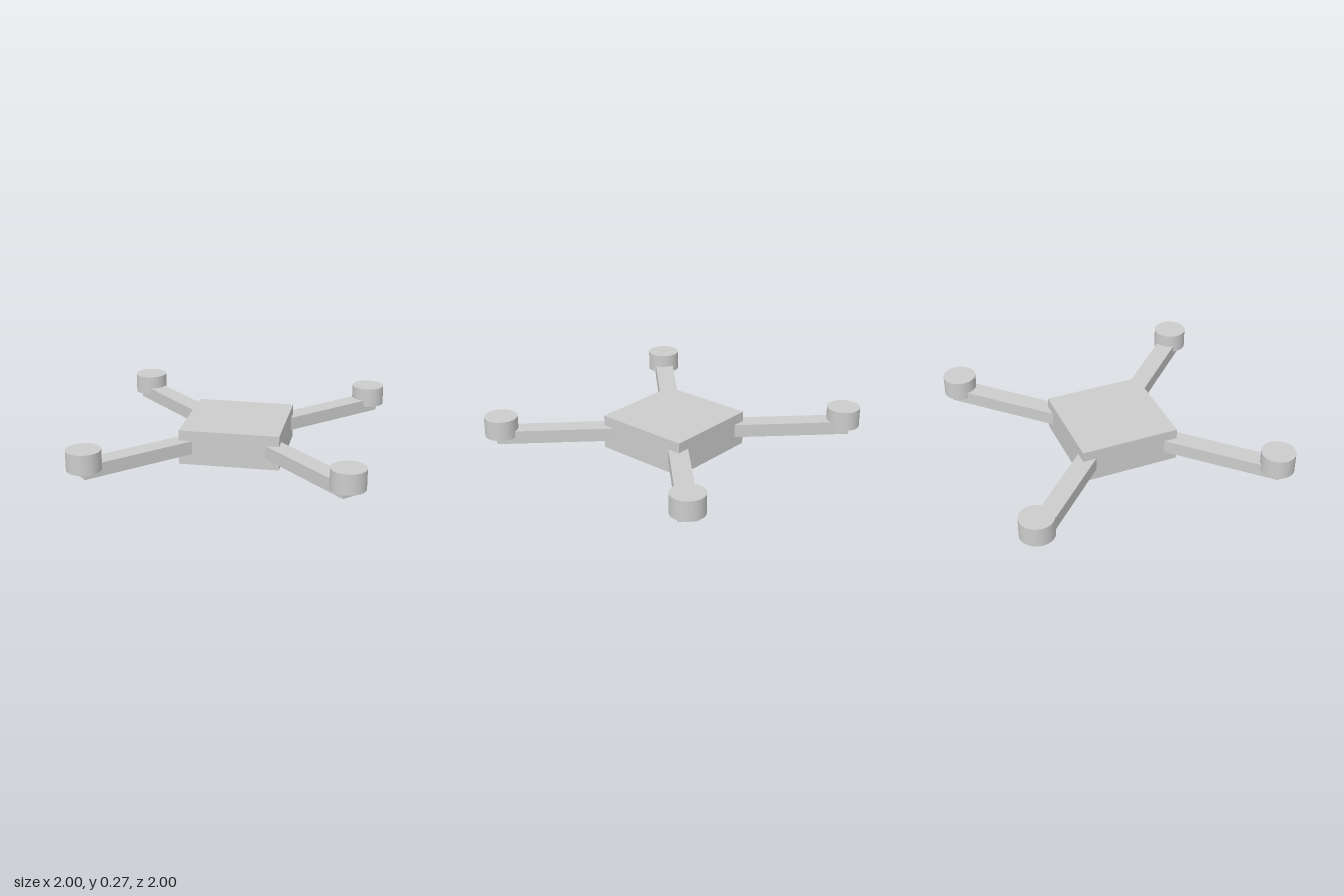
import * as THREE from 'three';

export function createModel() {
  const model = new THREE.Group();
  model.name = 'quadcopter';
  const grey = new THREE.MeshStandardMaterial({ color: 0xcccccc });
  grey.name = 'light grey';

  function add(parent, name, geometry, x, y, z) {
    const mesh = new THREE.Mesh(geometry, grey);
    mesh.name = name;
    mesh.position.set(x, y, z);
    parent.add(mesh);
  }

  // central body
  add(model, 'body', new THREE.BoxGeometry(0.714, 0.25, 0.714), 0, 0.125, 0);

  // four diagonal arms, each carrying a motor near its tip
  const inner = 0.35, outer = 1.276;
  const armGeometry = new THREE.BoxGeometry(outer - inner, 0.096, 0.137);
  const motorGeometry = new THREE.CylinderGeometry(0.12, 0.12, 0.142, 48);
  const names = ['backLeft', 'backRight', 'frontRight', 'frontLeft'];
  names.forEach((name, i) => {
    const limb = new THREE.Group();
    limb.name = name + 'Limb';
    limb.rotation.y = Math.PI / 4 + i * Math.PI / 2;
    add(limb, name + 'Arm', armGeometry, (inner + outer) / 2, 0.128, 0);
    add(limb, name + 'Motor', motorGeometry, 0.88 * Math.SQRT2, 0.199, 0);
    model.add(limb);
  });

  return model;
}
